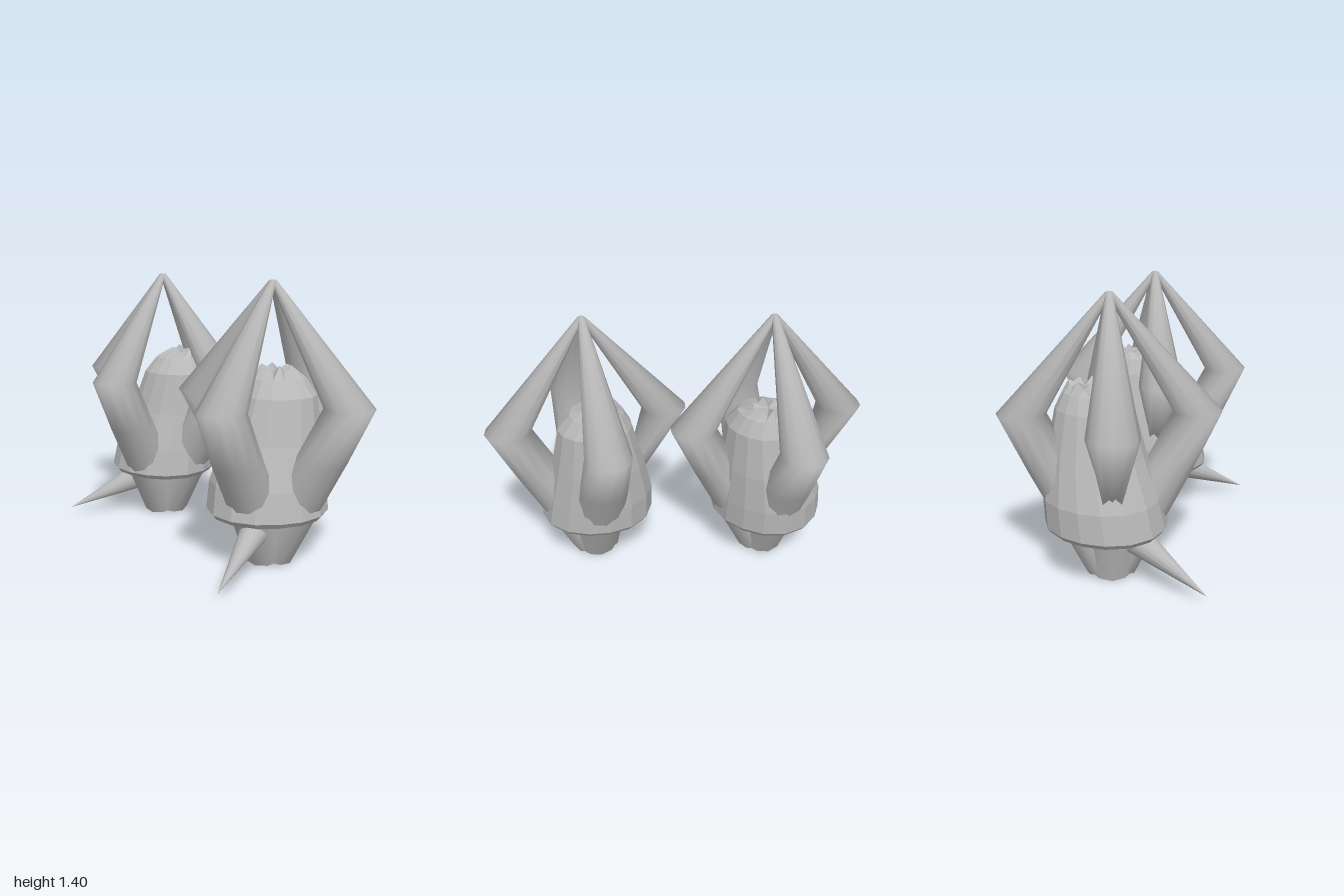
import * as THREE from 'three';

const stone = new THREE.MeshStandardMaterial({ color: 0xb8b8b8 });
stone.name = 'stone grey';

// Skin over rings listed from bottom to top. Each ring: { x, y, z, r, tilt, jag }.
// lobes gives the outline three soft corners, one of them towards +x -z.
function loft(rings, sides, lobes = 0) {
  const pos = [], index = [];
  for (const { x = 0, y, z = 0, r, tilt = 0, jag = 0 } of rings) {
    for (let j = 0; j < sides; j++) {
      const a = (j / sides) * Math.PI * 2;
      const rr = r * (1 + lobes * Math.cos(3 * (a + Math.PI / 4)));
      pos.push(
        x + rr * Math.cos(a),
        y + tilt * rr * Math.cos(a) + jag * Math.sin(j * 2.4),
        z + rr * Math.sin(a),
      );
    }
  }
  for (let i = 0; i < rings.length - 1; i++) {
    for (let j = 0; j < sides; j++) {
      const k = (j + 1) % sides;
      const a = i * sides + j, b = i * sides + k;
      index.push(a, a + sides, b, b, a + sides, b + sides);
    }
  }
  const g = new THREE.BufferGeometry();
  g.setAttribute('position', new THREE.Float32BufferAttribute(pos, 3));
  g.setIndex(index);
  g.computeVertexNormals();
  return g;
}

function part(name, geometry) {
  const m = new THREE.Mesh(geometry, stone);
  m.name = name;
  return m;
}

// Bent claw: slanted foot under the hood, wide elbow, thin tip at the apex.
// Doubled rings keep the foot and tip caps crisp.
const foot = { x: 0, y: 0.055, r: 0.127, tilt: -0.43 };
const elbow = { x: 0.422, y: 0.83, r: 0.12 };
const tip = { y: 1.4, r: 0.017 };
const tipRings = [tip, tip, { ...tip, r: 0 }];
const footRings = [{ ...foot, r: 0 }, foot, foot];
const clawGeometry = loft([
  ...footRings, { x: 0.28, y: 0.55, r: 0.128 }, elbow, ...tipRings,
], 12);

// Rear claw: shrinks below the elbow and ends in a ragged point on the hood.
const rearClawGeometry = loft([
  { x: 0.24, y: 0.46, r: 0 },
  { x: 0.245, y: 0.49, r: 0.05, jag: 0.03 },
  elbow, ...tipRings,
], 12);

// Short stub that closes the back of the stump.
const stubGeometry = loft([...footRings, { x: 0.075, y: 0.3, r: 0.125 }], 12);

// Faceted hood leaning to one side, with a broken, jagged crown.
function hoodGeometry() {
  const g = loft([
    { x: 0, y: 0.27, z: -0.02, r: 0.1 },
    { x: 0, y: 0.255, z: -0.02, r: 0.285 },
    { x: 0, y: 0.28, z: -0.02, r: 0.304 },
    { x: 0.018, y: 0.42, z: -0.03, r: 0.292 },
    { x: 0.06, y: 0.62, z: -0.027, r: 0.245 },
    { x: 0.088, y: 0.84, z: -0.015, r: 0.193 },
    { x: 0.1, y: 0.92, z: -0.025, r: 0.14 },
    { x: 0.125, y: 0.96, z: -0.05, r: 0.075, jag: 0.02 },
    { x: 0.12, y: 0.945, z: -0.05, r: 0 },
  ], 16, 0.03).toNonIndexed();
  g.computeVertexNormals();
  return g;
}

// Straight spike running down and out from below the hood.
function makeSpike() {
  const from = new THREE.Vector3(-0.1, 0.235, 0.015);
  const to = new THREE.Vector3(-0.563, 0.04, 0.082);
  const dir = to.clone().sub(from);
  const spike = part('spike', new THREE.ConeGeometry(0.085, dir.length(), 14));
  spike.position.copy(from).add(to).multiplyScalar(0.5);
  spike.quaternion.setFromUnitVectors(new THREE.Vector3(0, 1, 0), dir.normalize());
  return spike;
}

function makePod(name, x, z, turn) {
  const pod = new THREE.Group();
  pod.name = name;
  pod.position.set(x, 0, z);
  for (const turns of [0, 2, 3]) {
    const claw = part('claw', clawGeometry);
    claw.rotation.y = (turns * Math.PI) / 2;
    pod.add(claw);
  }
  const rear = new THREE.Group();
  rear.name = 'rear';
  rear.rotation.y = Math.PI / 2;
  rear.add(part('rearClaw', rearClawGeometry), part('rearStub', stubGeometry));
  pod.add(rear);
  // Hood and spike turn together inside the claws
  const core = new THREE.Group();
  core.name = 'core';
  core.rotation.y = turn;
  core.add(part('hood', hoodGeometry()), makeSpike());
  pod.add(core);
  return pod;
}

export function createModel() {
  const model = new THREE.Group();
  model.name = 'clawedPods';
  model.add(
    makePod('frontPod', -0.13, 0.455, 0),
    makePod('backPod', 0.157, -0.455, -0.86),
  );
  return model;
}
